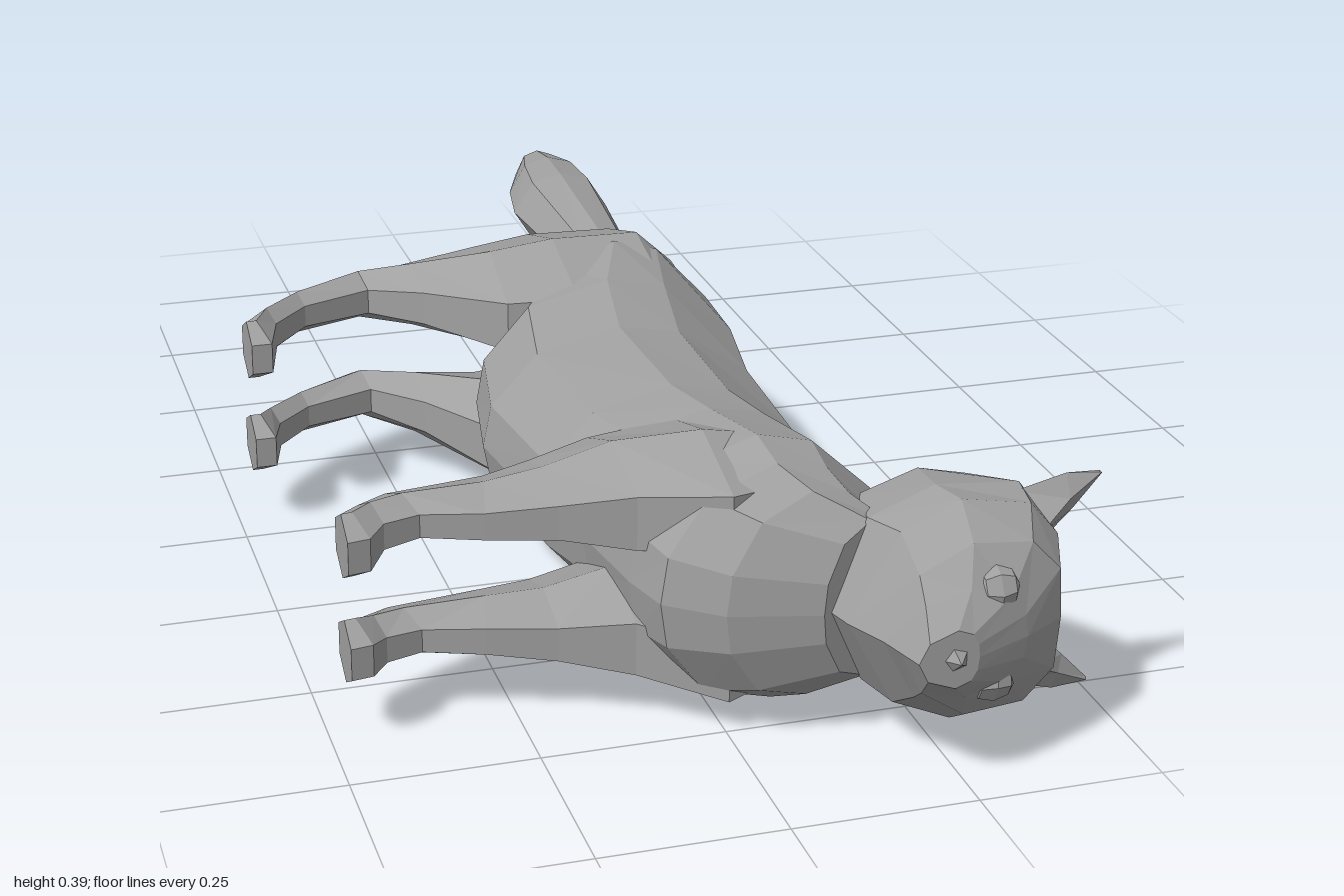
import * as THREE from 'three';

const fur = new THREE.MeshStandardMaterial({ color: 0xa0a0a0, flatShading: true });
fur.name = 'grey fur';

// Skin a list of equal-sized point rings, capped at both ends, facing outward.
function loft(name, rings) {
  const n = rings[0].length;
  const tris = [];
  const centre = r => r.reduce((a, p) => a.map((v, i) => v + p[i] / n), [0, 0, 0]);
  const first = rings[0], last = rings[rings.length - 1];
  const c0 = centre(first), c1 = centre(last);
  for (let i = 0; i < n; i++) {
    const j = (i + 1) % n;
    for (let k = 0; k < rings.length - 1; k++) {
      const a = rings[k], b = rings[k + 1];
      tris.push([a[i], a[j], b[j]], [a[i], b[j], b[i]]);
    }
    tris.push([c0, first[j], first[i]], [c1, last[i], last[j]]);
  }
  // Signed volume tells whether the winding must be turned round.
  let volume = 0;
  for (const [a, b, c] of tris) {
    volume += new THREE.Vector3(...a).dot(new THREE.Vector3(...b).cross(new THREE.Vector3(...c)));
  }
  if (volume < 0) tris.forEach(t => t.reverse());
  const geo = new THREE.BufferGeometry();
  geo.setAttribute('position', new THREE.Float32BufferAttribute(tris.flat(2), 3));
  geo.computeVertexNormals();
  const mesh = new THREE.Mesh(geo, fur);
  mesh.name = name;
  return mesh;
}

// Complete a half outline (top centre to bottom centre) to a symmetric ring.
const mirrorRing = half => [...half, ...half.slice(1, -1).reverse().map(([x, y, z]) => [-x, y, z])];

// Leg section between a front and a back point, from inner to outer x.
function legRing([fy, fz, by, bz, xi, xo], side) {
  const w = xo - xi;
  const my = (fy + by) / 2, mz = (fz + bz) / 2;
  return [
    [xi + 0.25 * w, fy, fz], [xi + 0.75 * w, fy, fz], [xo, my, mz],
    [xi + 0.75 * w, by, bz], [xi + 0.25 * w, by, bz], [xi, my, mz],
  ].map(([x, y, z]) => [side * x, y, z]);
}

export function createModel() {
  const cat = new THREE.Group();
  cat.name = 'lyingCat';

  // Torso and neck: z at top, z at bottom, top, bottom, half width
  const torso = [
    [-0.30, -0.29, 0.225, 0.12, 0.055],
    [-0.24, -0.24, 0.235, 0.00, 0.145],
    [-0.08, -0.08, 0.245, -0.06, 0.188],
    [0.05, 0.04, 0.245, -0.155, 0.175],
    [0.20, 0.20, 0.22, -0.185, 0.162],
    [0.42, 0.42, 0.21, -0.16, 0.16],
    [0.52, 0.52, 0.22, -0.13, 0.165],
    [0.66, 0.67, 0.235, -0.11, 0.185],
    [0.70, 0.745, 0.23, -0.09, 0.168],
    [0.735, 0.80, 0.225, -0.02, 0.145],
    [0.77, 0.83, 0.24, 0.10, 0.11],
  ];
  const outline = [[0, 0], [0.45, 0.02], [0.9, 0.28], [1, 0.5], [0.82, 0.8], [0.38, 0.97], [0, 1]];
  cat.add(loft('torso', torso.map(([zt, zb, top, bot, w]) => mirrorRing(
    outline.map(([u, v]) => [u * w, top + (bot - top) * v, zt + (zb - zt) * v])))));

  // Tail: z, centre y, half height, half width
  const tail = [
    [-0.24, 0.185, 0.05, 0.06], [-0.33, 0.19, 0.045, 0.045], [-0.5, 0.195, 0.058, 0.048],
    [-0.77, 0.2, 0.083, 0.065], [-0.88, 0.207, 0.07, 0.06], [-0.975, 0.213, 0.04, 0.042],
    [-1, 0.213, 0.02, 0.022],
  ];
  cat.add(loft('tail', tail.map(([z, y, h, w]) => mirrorRing(
    [[0, y + h, z], [0.8 * w, y + 0.6 * h, z], [w, y, z], [0.8 * w, y - 0.6 * h, z], [0, y - h, z]]))));

  // Head, back of skull to muzzle: z and half outline
  const head = [
    [0.705, [[0, 0.37], [0.07, 0.365], [0.115, 0.335], [0.13, 0.27], [0.1, 0.18], [0, 0.14]]],
    [0.80, [[0, 0.41], [0.09, 0.405], [0.14, 0.37], [0.15, 0.255], [0.115, 0.165], [0, 0.105]]],
    [0.86, [[0, 0.405], [0.09, 0.4], [0.138, 0.36], [0.155, 0.265], [0.12, 0.185], [0, 0.12]]],
    [0.915, [[0, 0.385], [0.07, 0.38], [0.112, 0.34], [0.12, 0.26], [0.085, 0.19], [0, 0.145]]],
    [0.95, [[0, 0.325], [0.03, 0.32], [0.06, 0.3], [0.075, 0.245], [0.06, 0.185], [0, 0.155]]],
    [0.985, [[0, 0.245], [0.018, 0.243], [0.032, 0.235], [0.04, 0.215], [0.026, 0.178], [0, 0.165]]],
  ];
  cat.add(loft('head', head.map(([z, half]) => mirrorRing(half.map(([x, y]) => [x, y, z])))));

  // Nose
  const nose = new THREE.Mesh(new THREE.ConeGeometry(0.026, 0.025, 5), fur);
  nose.name = 'nose';
  nose.rotation.x = Math.PI / 2;
  nose.position.set(0, 0.215, 0.9875);
  cat.add(nose);

  // Leg sections: front y, z, back y, z, inner x, outer x
  const frontLeg = [
    [0.10, 0.72, 0.10, 0.53, 0.05, 0.165],
    [0.00, 0.76, 0.00, 0.50, 0.03, 0.185],
    [-0.105, 0.69, -0.115, 0.49, 0.015, 0.165],
    [-0.20, 0.655, -0.20, 0.505, 0.04, 0.135],
    [-0.29, 0.63, -0.265, 0.515, 0.045, 0.12],
    [-0.37, 0.605, -0.40, 0.53, 0.05, 0.115],
    [-0.42, 0.62, -0.44, 0.555, 0.045, 0.117],
    [-0.445, 0.655, -0.475, 0.58, 0.03, 0.12],
    [-0.475, 0.66, -0.475, 0.58, 0.03, 0.12],
  ];
  const hindLeg = [
    [0.20, 0.00, 0.18, -0.20, 0.03, 0.14],
    [0.14, 0.03, 0.13, -0.24, 0.03, 0.19],
    [0.00, 0.05, 0.00, -0.245, 0.02, 0.195],
    [-0.10, 0.02, -0.09, -0.235, 0.03, 0.18],
    [-0.195, -0.13, -0.20, -0.26, 0.04, 0.14],
    [-0.265, -0.20, -0.28, -0.275, 0.045, 0.12],
    [-0.37, -0.165, -0.385, -0.21, 0.05, 0.115],
    [-0.425, -0.105, -0.445, -0.15, 0.045, 0.117],
    [-0.445, -0.03, -0.475, -0.115, 0.03, 0.12],
    [-0.475, -0.03, -0.475, -0.115, 0.03, 0.12],
  ];
  // Ear sections: outer, front, inner and back corner
  const ear = [
    [[0.137, 0.355, 0.82], [0.095, 0.375, 0.865], [0.07, 0.4, 0.825], [0.1, 0.385, 0.79]],
    [[0.155, 0.425, 0.822], [0.125, 0.425, 0.838], [0.105, 0.435, 0.825], [0.13, 0.43, 0.81]],
    [[0.152, 0.47, 0.82], [0.15, 0.474, 0.823], [0.147, 0.475, 0.82], [0.15, 0.474, 0.817]],
  ];

  for (const [side, label] of [[1, 'left'], [-1, 'right']]) {
    cat.add(loft(label + 'FrontLeg', frontLeg.map(r => legRing(r, side))));
    cat.add(loft(label + 'HindLeg', hindLeg.map(r => legRing(r, side))));
    cat.add(loft(label + 'Ear', ear.map(r => r.map(([x, y, z]) => [side * x, y, z]))));

    // Faceted eye
    const eye = new THREE.Mesh(new THREE.SphereGeometry(0.028, 6, 4), fur);
    eye.name = label + 'Eye';
    eye.scale.z = 0.5;
    eye.rotation.y = side * 0.5;
    eye.position.set(side * 0.07, 0.285, 0.942);
    cat.add(eye);
  }

  // Lay the cat on its side, head and feet along x
  cat.rotation.z = -Math.PI / 2;
  cat.position.y = 0.195;
  const model = new THREE.Group();
  model.name = 'cat';
  model.add(cat);
  return model;
}
